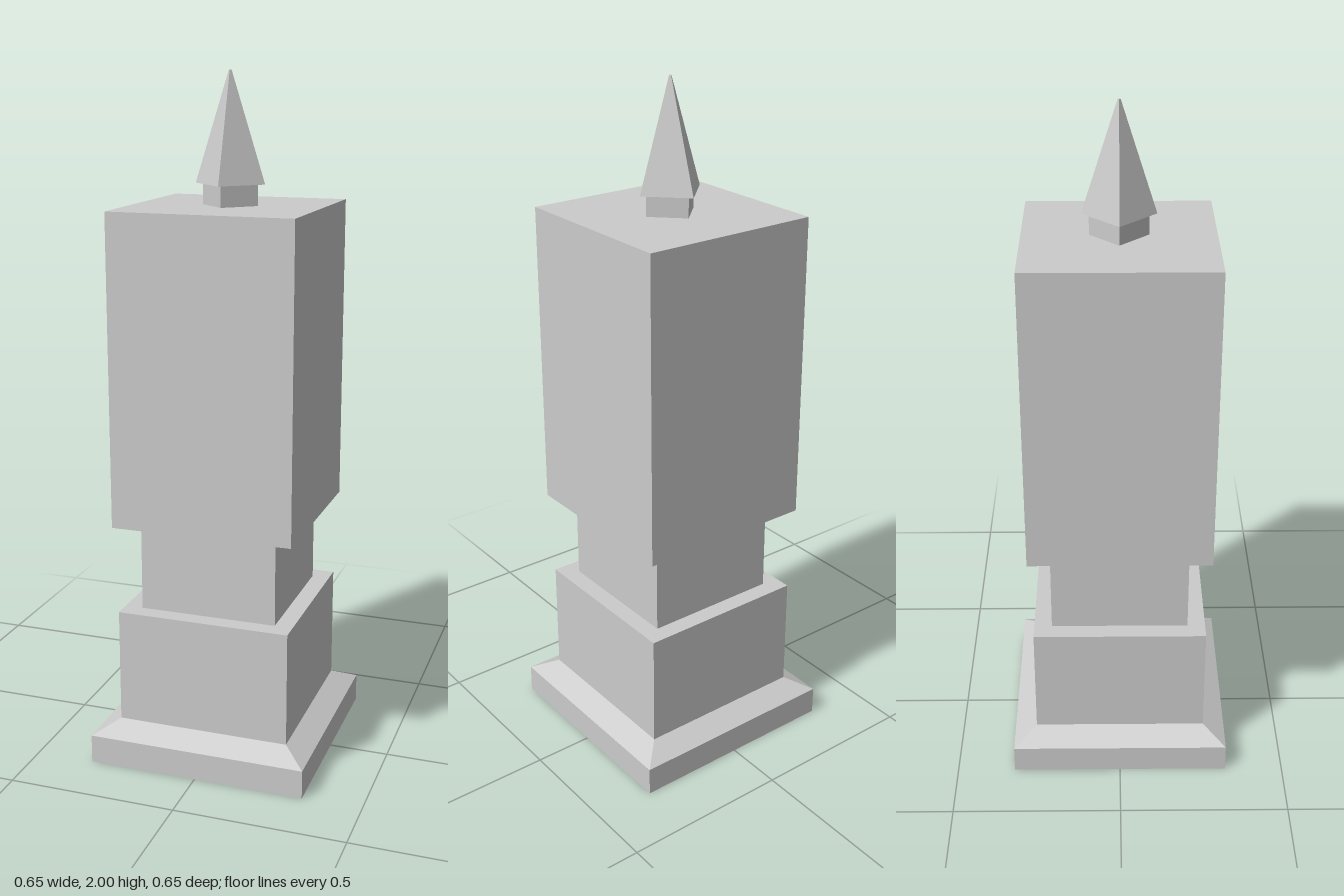
import * as THREE from 'three';

const material = new THREE.MeshStandardMaterial({ color: 0xcccccc, flatShading: true });

// Four-sided tier; the radii run from the axis to the corners
function tier(name, bottomRadius, topRadius, y0, y1, turn) {
  const geometry = new THREE.CylinderGeometry(topRadius, bottomRadius, y1 - y0, 4);
  geometry.rotateY(turn);
  const mesh = new THREE.Mesh(geometry, material);
  mesh.name = name;
  mesh.position.y = (y0 + y1) / 2;
  return mesh;
}

// Square tier facing the front, given by half widths
const square = (name, bottom, top, y0, y1) =>
  tier(name, bottom * Math.SQRT2, top * Math.SQRT2, y0, y1, Math.PI / 4);

export function createModel() {
  const model = new THREE.Group();
  model.name = 'pillar';
  model.add(
    // Stepped pedestal
    square('basePlinth', 0.325, 0.325, 0, 0.085),
    square('baseBevel', 0.325, 0.257, 0.085, 0.122),
    square('pedestal', 0.257, 0.257, 0.122, 0.462),
    square('neck', 0.204, 0.204, 0.462, 0.726),
    // Overhanging main block
    square('mainBlock', 0.268, 0.268, 0.726, 1.63),
    // Finial turned corner-on to the front
    tier('finialCollar', 0.082, 0.082, 1.63, 1.69, 0),
    tier('finialSpire', 0.103, 0.004, 1.69, 2, 0)
  );
  return model;
}
